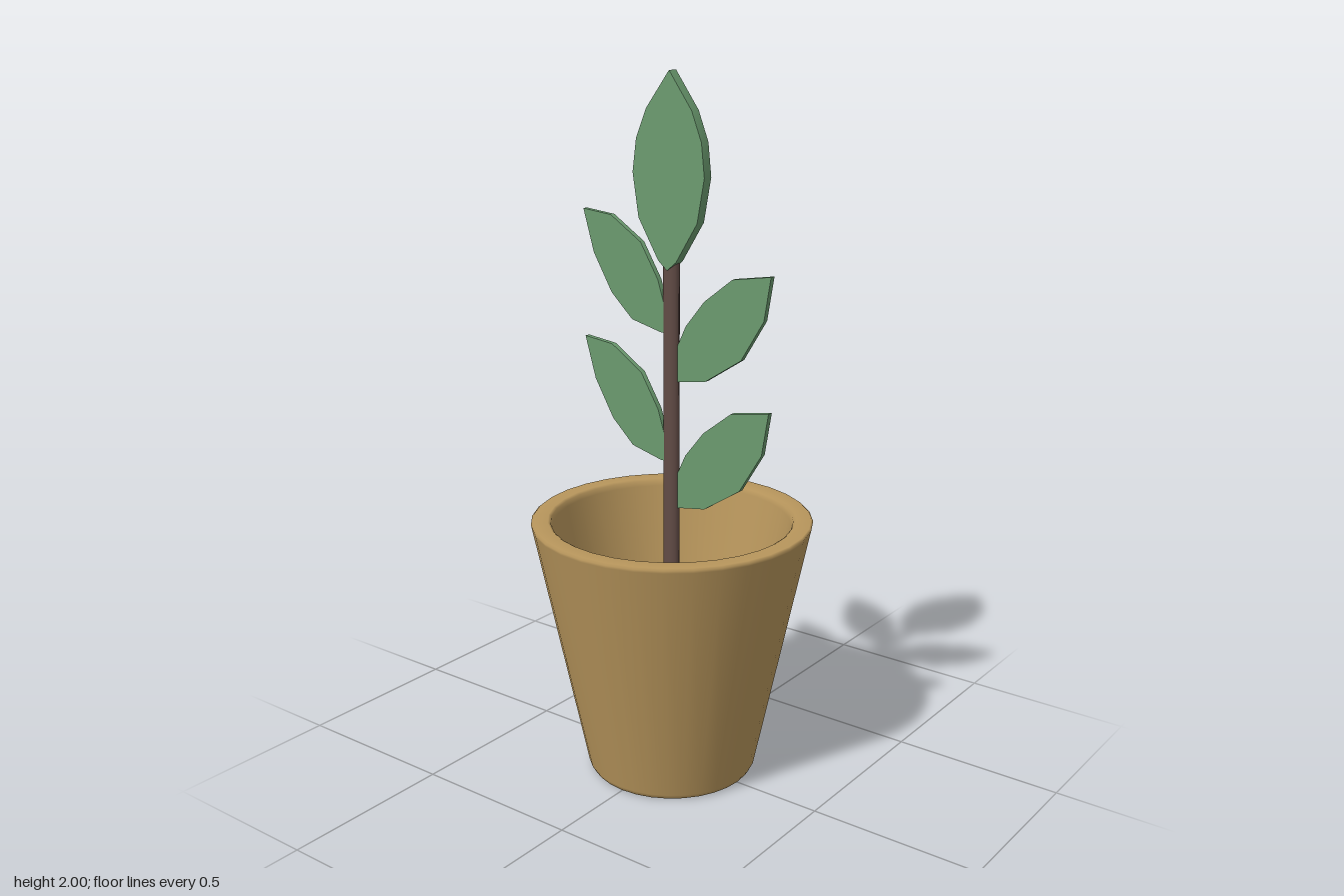
import * as THREE from 'three';
import { toCreasedNormals } from 'three/addons/utils/BufferGeometryUtils.js';

const mat = (color) => new THREE.MeshStandardMaterial({ color });
const clay = mat(0xb8965c);
const earth = mat(0x624c46);
const green = mat(0x6b9a6f);

const SOIL_Y = 0.3;

// Outlines in (z, y), counter-clockwise or not: the shape sorts its own winding
const crownLeaf = [
  [0, 2], [0.075, 1.9], [0.108, 1.82], [0.119, 1.73], [0.098, 1.61], [0.03, 1.5], [0, 1.475],
  [-0.03, 1.5], [-0.098, 1.61], [-0.119, 1.73], [-0.108, 1.82], [-0.075, 1.9],
];
const backLeaf = [
  [-0.33, 1.61], [-0.22, 1.603], [-0.105, 1.54], [-0.04, 1.445], [-0.01, 1.36], [-0.005, 1.3],
  [-0.03, 1.3], [-0.14, 1.32], [-0.22, 1.385], [-0.29, 1.49],
];
const frontLeaf = [
  [0.32, 1.49], [0.2, 1.47], [0.11, 1.4], [0.05, 1.325], [0.015, 1.25], [0.005, 1.17],
  [0.02, 1.165], [0.115, 1.18], [0.23, 1.255], [0.3, 1.37],
];

// Thin slab in the y-z plane, its middle surface set by x = lean(y, z)
function leaf(name, outline, thickness, lean, drop = 0) {
  const shape = new THREE.Shape(outline.map(([z, y]) => new THREE.Vector2(z, y)));
  const geo = new THREE.ExtrudeGeometry(shape, { depth: thickness, bevelEnabled: false });
  geo.translate(0, 0, -thickness / 2).rotateY(-Math.PI / 2);
  const p = geo.attributes.position;
  for (let i = 0; i < p.count; i++) p.setX(i, p.getX(i) + lean(p.getY(i), p.getZ(i)));
  geo.translate(0, -drop, 0);
  const mesh = new THREE.Mesh(toCreasedNormals(geo, 0.6), green);
  mesh.name = name;
  return mesh;
}

export function createModel() {
  const model = new THREE.Group();
  model.name = 'pottedPlant';
  const add = (name, geo, material) => {
    const mesh = new THREE.Mesh(geo, material);
    mesh.name = name;
    model.add(mesh);
    return mesh;
  };

  // Tapered pot: base, outer wall, rim, inner wall
  const profile = [
    [0, 0], [0.23, 0], [0.238, 0.002], [0.246, 0.016], [0.398, 0.752], [0.4, 0.76], [0.394, 0.765],
    [0.352, 0.765], [0.344, 0.76], [0.34, 0.745], [0.25, SOIL_Y], [0.248, SOIL_Y - 0.01],
  ].map(([r, y]) => new THREE.Vector2(r, y));
  add('pot', new THREE.LatheGeometry(profile, 32), clay);

  // Soil disc
  const soil = new THREE.CircleGeometry(0.25, 32).rotateX(-Math.PI / 2);
  add('soil', soil, earth).position.y = SOIL_Y;

  // Slightly flattened stem
  const stemTop = 1.53;
  const stem = new THREE.CylinderGeometry(0.025, 0.025, stemTop - SOIL_Y, 10);
  stem.scale(0.72, 1, 1).translate(-0.002, (stemTop + SOIL_Y) / 2, 0);
  add('stem', stem, earth);

  // Leaves: one at the crown, two pairs down the stem
  model.add(leaf('crownLeaf', crownLeaf, 0.031, (y) => -0.007 + 0.019 * (y - 1.5)));
  ['upper', 'lower'].forEach((level, i) => {
    const drop = i * 0.367;
    model.add(leaf(level + 'BackLeaf', backLeaf, 0.016, (y, z) => -0.008 - 0.119 * z, drop));
    model.add(leaf(level + 'FrontLeaf', frontLeaf, 0.016, (y, z) => 0.002 + 0.02 * z, drop));
  });

  return model;
}
